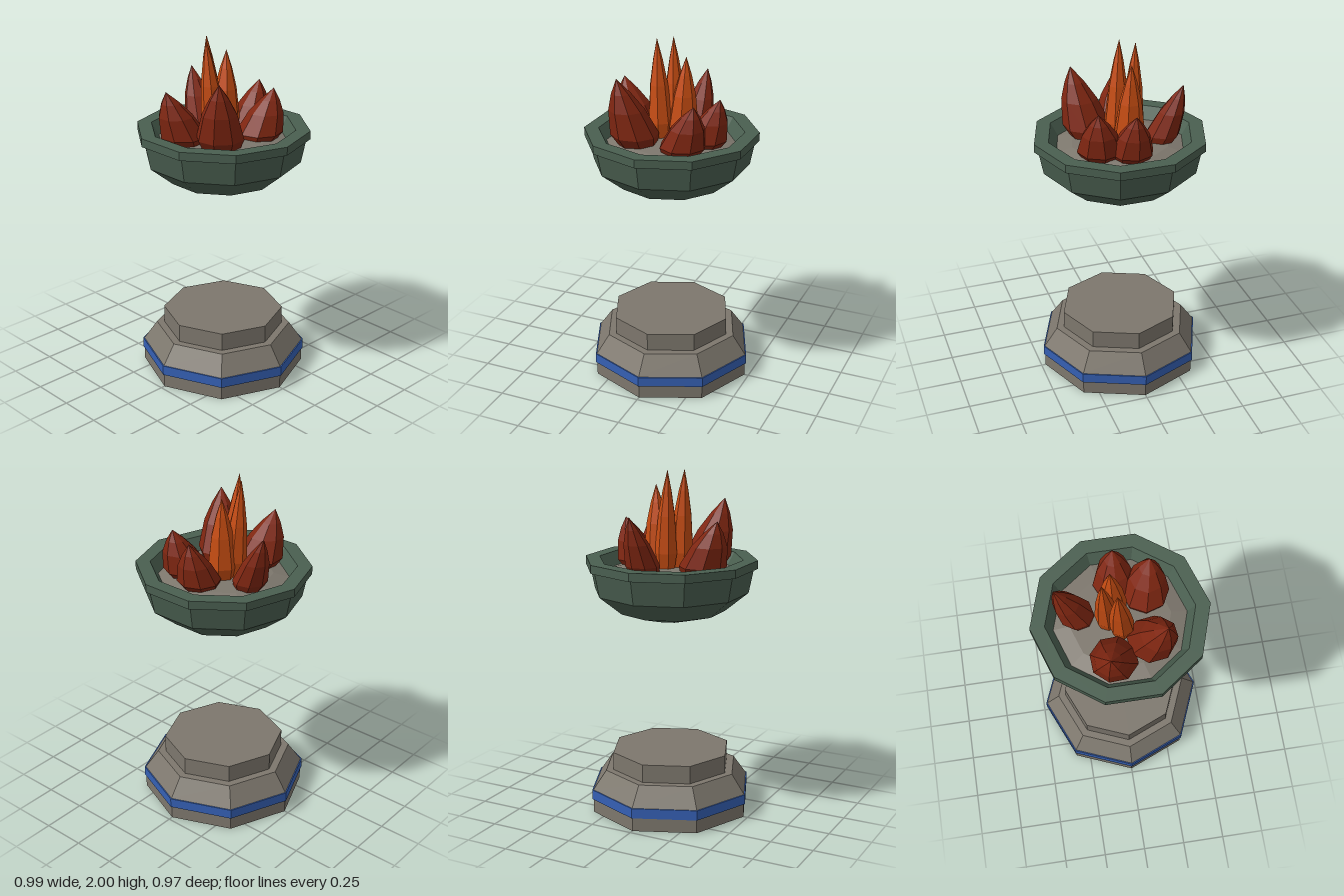
import * as THREE from 'three';

const mat = (name, color) => {
  const m = new THREE.MeshStandardMaterial({ color });
  m.name = name;
  return m;
};

// Split the faces so each one is flat
function faceted(geometry) {
  const g = geometry.toNonIndexed();
  g.computeVertexNormals();
  return g;
}

function lathe(points, sides, turn = 0) {
  const g = new THREE.LatheGeometry(points.map(([r, y]) => new THREE.Vector2(r, y)), sides);
  return g.rotateY(turn);
}

// Bulging pointed shard: a lathe whose rings slide from the foot towards the tip
function shard([cx, cz], [tx, ty, tz], radius, sides, turn) {
  const foot = 1.4, h = ty - foot;
  const profile = [[0, 0], [0.72, 0], [1, 0.22], [0.74, 0.57], [0.4, 0.8], [0, 1]];
  const g = lathe(profile.map(([r, t]) => [r * radius, t]), sides, turn);
  const p = g.attributes.position;
  for (let i = 0; i < p.count; i++) {
    const t = p.getY(i);
    const k = (t - 0.22) / 0.78; // (cx, cz) is the centre of the widest ring
    p.setXYZ(i, p.getX(i) + cx + (tx - cx) * k, foot + h * t, p.getZ(i) + cz + (tz - cz) * k);
  }
  return faceted(g);
}

export function createModel() {
  const stone = mat('stone', 0x7d776d);
  const blue = mat('blue band', 0x3560b4);
  const green = mat('green bowl', 0x4a5f50);
  const red = mat('ember red', 0x7f2611);
  const orange = mat('flame orange', 0xc64c12);

  const model = new THREE.Group();
  model.name = 'floatingBrazier';
  const add = (name, geometry, material, parent = model) => {
    const mesh = new THREE.Mesh(geometry, material);
    mesh.name = name;
    parent.add(mesh);
  };

  // Octagonal pedestal: [name, bottom radius, top radius, bottom y, top y, material]
  const base = new THREE.Group();
  base.name = 'pedestal';
  model.add(base);
  for (const [name, r0, r1, y0, y1, material] of [
    ['plinth', 0.475, 0.475, 0, 0.08, stone],
    ['band', 0.483, 0.483, 0.08, 0.138, blue],
    ['slope', 0.476, 0.397, 0.138, 0.25, stone],
    ['cap', 0.352, 0.352, 0.25, 0.355, stone],
  ]) {
    const g = new THREE.CylinderGeometry(r1, r0, y1 - y0, 8).translate(0, (y0 + y1) / 2, 0);
    add(name, faceted(g), material, base);
  }

  // Ten-sided floating bowl with a rim and an inner wall
  add('bowl', faceted(lathe([
    [0, 1.14], [0.13, 1.14], [0.31, 1.19], [0.445, 1.3], [0.473, 1.44],
    [0.495, 1.44], [0.495, 1.488], [0.413, 1.488], [0.36, 1.4],
  ], 10, Math.PI / 2)), green);

  // Low mound of ash inside
  add('ash', faceted(lathe([[0.375, 1.415], [0.28, 1.44], [0, 1.45]], 10, Math.PI / 2)), stone);

  // Shards: [widest centre x z], [tip x y z], radius
  const fire = new THREE.Group();
  fire.name = 'fire';
  model.add(fire);
  [
    [[0, -0.21], [0, 1.705, -0.29], 0.122],
    [[0.157, -0.135], [0.19, 1.71, -0.21], 0.132],
    [[-0.235, -0.055], [-0.343, 1.76, -0.08], 0.097],
    [[0.145, 0.16], [0.213, 1.82, 0.235], 0.136],
    [[-0.07, 0.235], [-0.1, 1.735, 0.335], 0.134],
  ].forEach(([c, t, r], i) => add('ember' + (i + 1), shard(c, t, r, 8, i * 0.7), red, fire));
  [
    [[-0.037, -0.055], [-0.045, 1.91, -0.07], 0.086],
    [[-0.075, 0.01], [-0.1, 2, 0.03], 0.066],
    [[-0.003, 0.07], [-0.03, 2, 0.1], 0.07],
  ].forEach(([c, t, r], i) => add('flame' + (i + 1), shard(c, t, r, 7, i * 0.9), orange, fire));

  return model;
}
